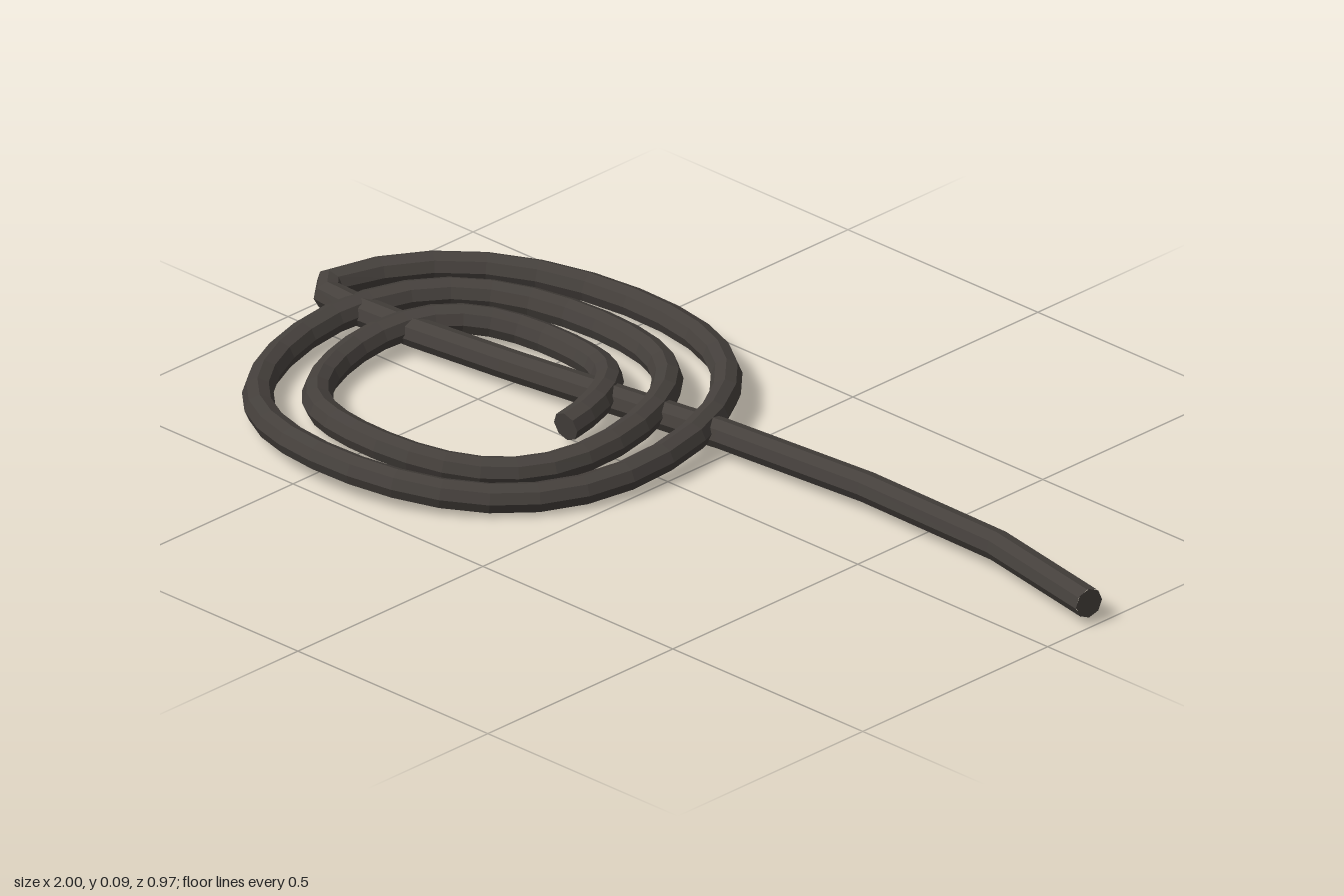
import * as THREE from 'three';

const RADIUS = 0.03;
const SIDES = 8;

// Curve that steps exactly through given points, keeping its bends crisp
class PolyCurve extends THREE.Curve {
  constructor(points) {
    super();
    this.points = points;
  }
  getPoint(t, target = new THREE.Vector3()) {
    const last = this.points.length - 1;
    const f = t * last;
    const i = Math.min(Math.floor(f + 1e-6), last - 1);
    return target.lerpVectors(this.points[i], this.points[i + 1], f - i);
  }
  getPointAt(t, target) {
    return this.getPoint(t, target);
  }
  // Tangent at a point bisects the directions on both sides
  getTangentAt(t, target = new THREE.Vector3()) {
    const p = this.points;
    const i = Math.round(t * (p.length - 1));
    target.set(0, 0, 0);
    if (i > 0) target.add(p[i].clone().sub(p[i - 1]).normalize());
    if (i < p.length - 1) target.add(p[i + 1].clone().sub(p[i]).normalize());
    return target.normalize();
  }
}

export function createModel() {
  const group = new THREE.Group();
  group.name = 'coiledRod';
  const iron = new THREE.MeshStandardMaterial({ color: 0x45403c, flatShading: true });
  iron.name = 'dark iron';

  // Coil: a widening spiral with a gentle vertical wave
  const points = [];
  const steps = 76;
  const endAngle = 4 * Math.PI + 2.92;
  for (let i = 0; i <= steps; i++) {
    const a = (endAngle * i) / steps;
    const r = 0.232 + 0.0179 * a;
    points.push(new THREE.Vector3(
      -0.472 + r * Math.cos(a),
      0.043 + 0.013 * Math.sin(3 * a),
      0.03 - r * Math.sin(a)
    ));
  }

  // Tail: a sharp bend, then a long shallow bow across the coil
  const tail = [
    [-0.945, -0.053], [-0.86, -0.048], [-0.72, -0.055], [-0.5, -0.08],
    [-0.25, -0.115], [0, -0.152], [0.35, -0.18], [0.7, -0.175], [0.992, -0.12]
  ];
  for (const [x, z] of tail) points.push(new THREE.Vector3(x, 0.046, z));

  const curve = new PolyCurve(points);
  const rod = new THREE.Mesh(
    new THREE.TubeGeometry(curve, points.length - 1, RADIUS, SIDES, false), iron);
  rod.name = 'rod';
  group.add(rod);

  // Flat discs closing both ends
  for (const [name, t, dir] of [['coilEndCap', 0, -1], ['tailEndCap', 1, 1]]) {
    const cap = new THREE.Mesh(new THREE.CircleGeometry(RADIUS, SIDES), iron);
    cap.name = name;
    cap.position.copy(curve.getPointAt(t));
    cap.lookAt(cap.position.clone().addScaledVector(curve.getTangentAt(t), dir));
    group.add(cap);
  }
  return group;
}
